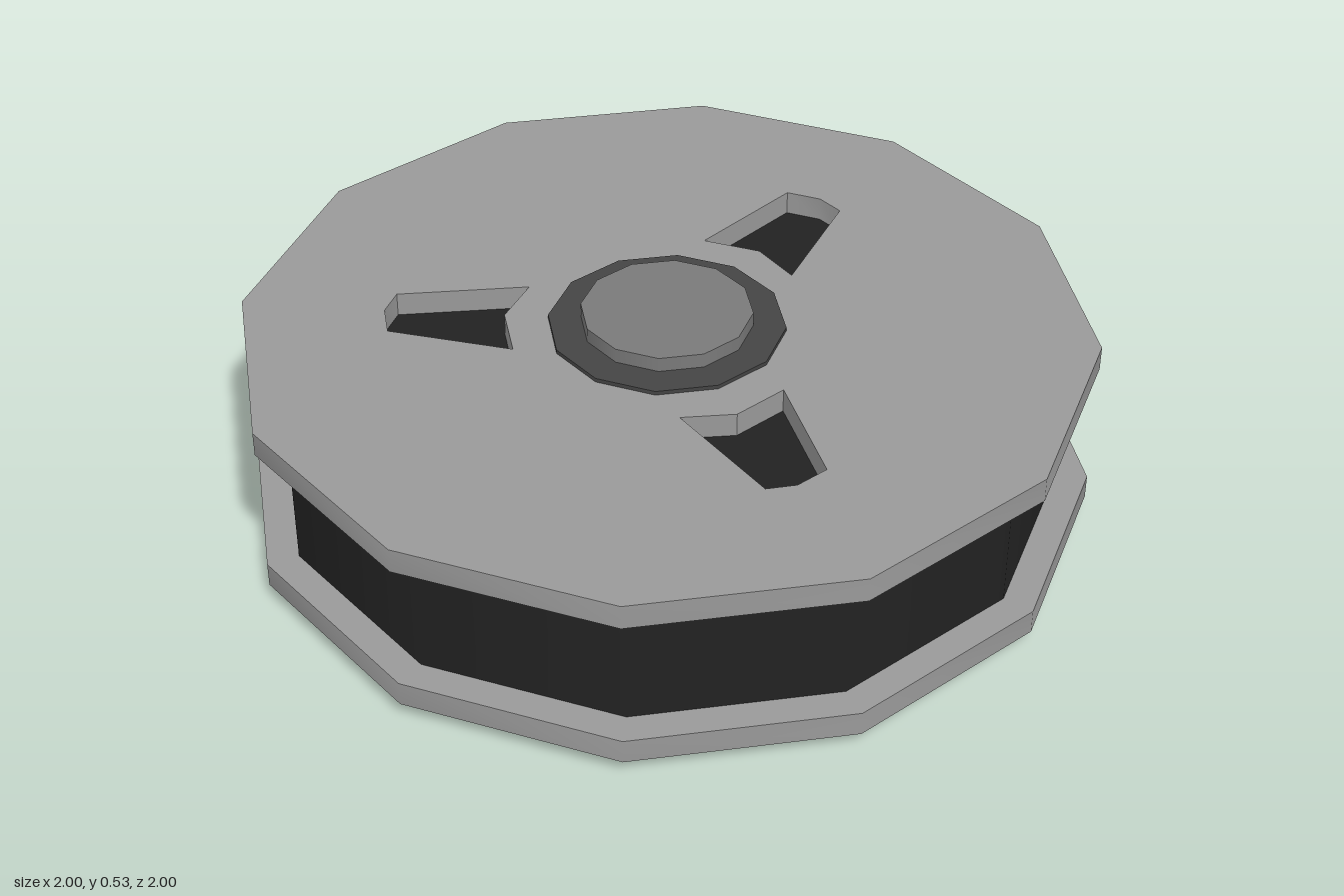
import * as THREE from 'three';
import { toCreasedNormals } from 'three/addons/utils/BufferGeometryUtils.js';

const SIDES = 12;
const TURN = 0.0995; // twist shared by all twelve-sided parts
const MID = 0.264; // height of the reel's middle plane

const grey = (color) => new THREE.MeshStandardMaterial({ color });

// Twelve-sided disc centred on the middle plane
function disc(name, radius, height, material) {
  const geometry = new THREE.CylinderGeometry(radius, radius, height, SIDES, 1, false, TURN);
  const mesh = new THREE.Mesh(geometry, material);
  mesh.name = name;
  mesh.position.y = MID;
  return mesh;
}

// Flange plate with three tapered windows
function flangeGeometry(thickness) {
  const shape = new THREE.Shape();
  for (let i = 0; i < SIDES; i++) {
    const a = TURN + (i / SIDES) * Math.PI * 2;
    const p = [1.004 * Math.cos(a), 1.004 * Math.sin(a)];
    if (i === 0) shape.moveTo(...p);
    else shape.lineTo(...p);
  }
  const slot = [[-0.15, 0.63], [-0.07, 0.66], [0, 0.65], [0.09, 0.35], [-0.035, 0.38], [-0.165, 0.328]];
  const centre = new THREE.Vector2();
  for (let k = 0; k < 3; k++) {
    const points = slot.map(([x, y]) => new THREE.Vector2(x, y).rotateAround(centre, (k * Math.PI * 2) / 3));
    shape.holes.push(new THREE.Path(points));
  }
  const geometry = new THREE.ExtrudeGeometry(shape, { depth: thickness, bevelEnabled: false });
  geometry.rotateX(-Math.PI / 2);
  return toCreasedNormals(geometry, THREE.MathUtils.degToRad(35));
}

export function createModel() {
  const reel = new THREE.Group();
  reel.name = 'filmReel';

  // Flanges
  const thickness = 0.06;
  const plate = flangeGeometry(thickness);
  const plateMaterial = grey(0x999999);
  for (const [name, y] of [['bottomFlange', 0.046], ['topFlange', 0.422]]) {
    const flange = new THREE.Mesh(plate, plateMaterial);
    flange.name = name;
    flange.position.y = y;
    reel.add(flange);
  }

  // Wound film between the flanges, then the hub collar and spindle
  reel.add(disc('woundFilm', 0.928, 0.318, grey(0x222222)));
  reel.add(disc('hubCollar', 0.278, 0.456, grey(0x444444)));
  reel.add(disc('spindle', 0.201, MID * 2, grey(0x7a7a7a)));

  return reel;
}
